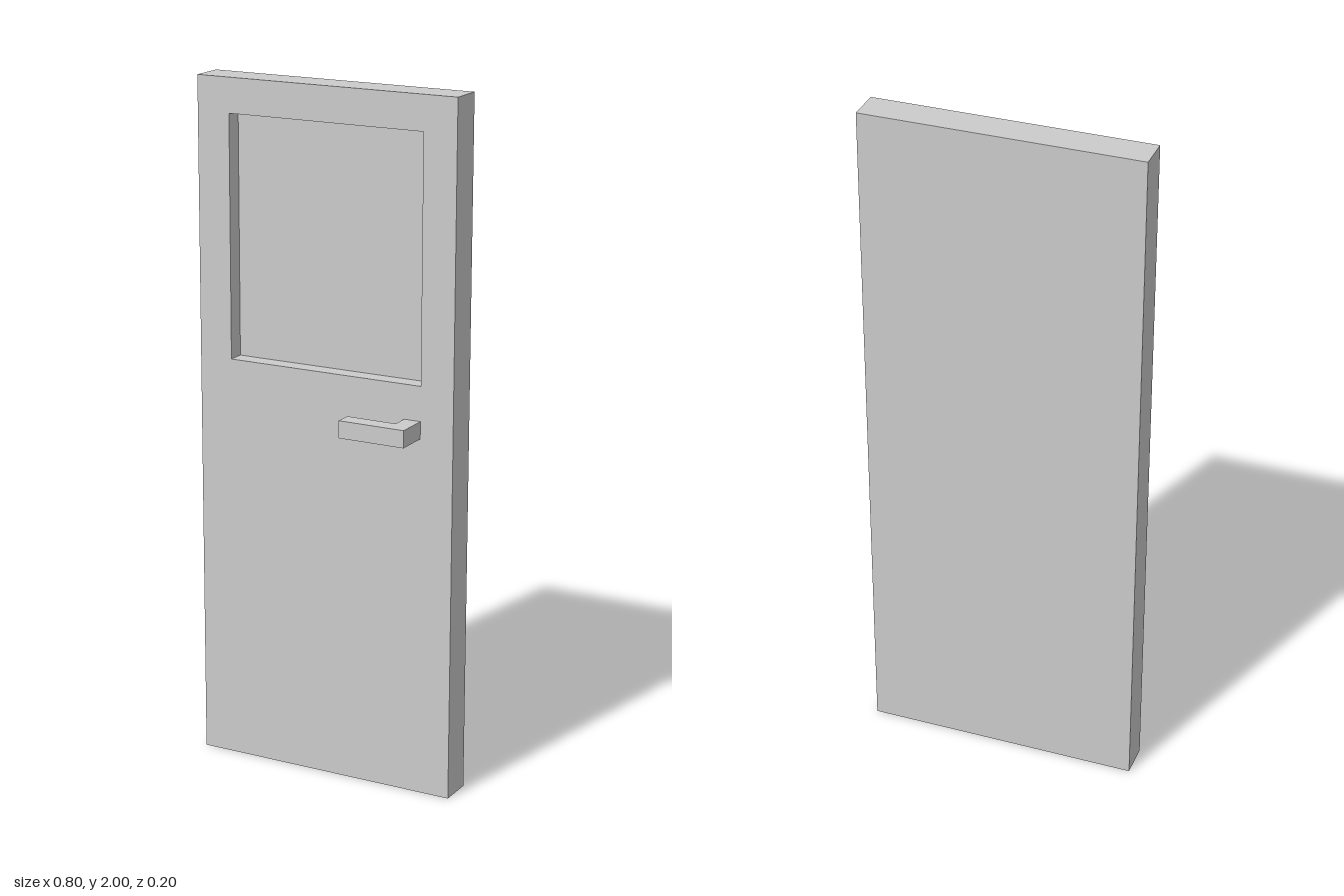
import * as THREE from 'three';
import { mergeGeometries } from 'three/addons/utils/BufferGeometryUtils.js';

const W = 0.8, H = 2, T = 0.1;                       // door slab, front face on z = 0
const win = { w: 0.6, h: 0.7, y: 1.55, depth: 0.05 }; // recessed window

// Box with its +z face left out; inward turns it into a cavity
function openBox(w, h, d, y, inward = false) {
  const g = new THREE.BoxGeometry(w, h, d).translate(0, y, -d / 2);
  const index = Array.from(g.index.array);
  index.splice(24, 6);
  if (inward) {
    index.reverse();
    g.attributes.normal.array.forEach((n, i, a) => { a[i] = -n; });
  }
  g.setIndex(index);
  g.clearGroups();
  return g;
}

function rectangle(PathType, w, h, y) {
  const points = [[-1, -1], [1, -1], [1, 1], [-1, 1]];
  return new PathType(points.map(([a, b]) => new THREE.Vector2(a * w / 2, y + b * h / 2)));
}

export function createModel() {
  const model = new THREE.Group();
  model.name = 'door';
  const material = new THREE.MeshStandardMaterial({ color: 0xcccccc });
  const add = (name, geometry) => {
    const mesh = new THREE.Mesh(geometry, material);
    mesh.name = name;
    model.add(mesh);
  };

  // Slab: five outer faces plus a front face with the window opening
  const front = rectangle(THREE.Shape, W, H, H / 2);
  front.holes.push(rectangle(THREE.Path, win.w, win.h, win.y));
  add('doorSlab', mergeGeometries([openBox(W, H, T, H / 2), new THREE.ShapeGeometry(front)]));

  // Window recess: reveals and pane
  add('windowRecess', openBox(win.w, win.h, win.depth, win.y, true));

  // L-shaped lever handle, drawn in plan and extruded upwards
  const plan = [[0.25, 0], [0.25, 0.05], [0.1, 0.05], [0.1, 0.1], [0.3, 0.1], [0.3, 0]];
  const lever = new THREE.Shape(plan.map(([x, z]) => new THREE.Vector2(x, -z)));
  add('handle', new THREE.ExtrudeGeometry(lever, { depth: 0.05, bevelEnabled: false })
    .rotateX(-Math.PI / 2).translate(0, 1.05, 0));

  return model;
}
